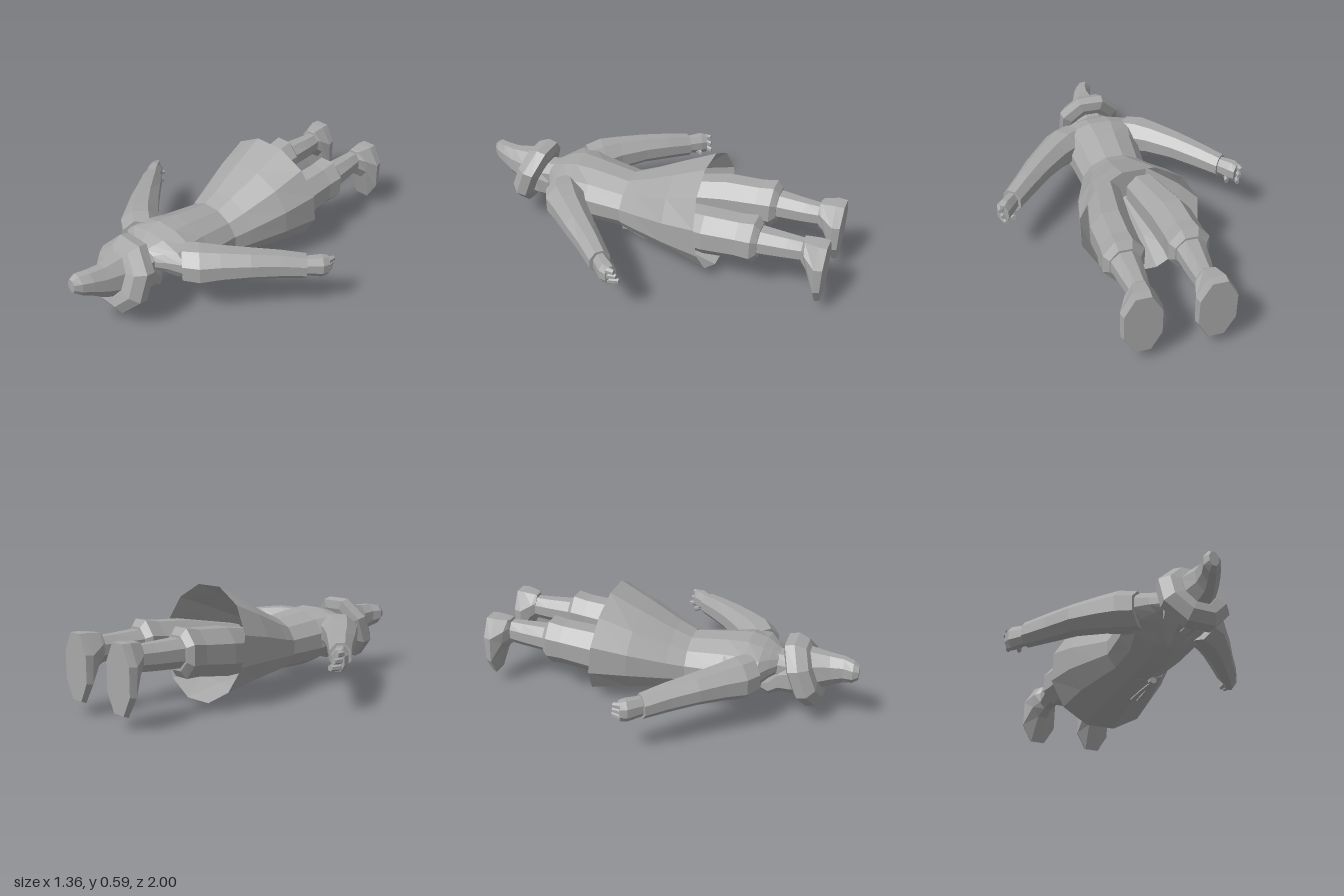
import * as THREE from 'three';

// Section: [x, y, z, rx, ry, yaw, shear]; sections run towards +z
function loft(sections, sides, caps = true) {
  const pos = [], idx = [], k = 1 / Math.cos(Math.PI / sides);
  for (const [x, y, z, rx, ry, yaw = 0, shear = 0] of sections) {
    for (let i = 0; i < sides; i++) {
      const a = ((i + 0.5) / sides) * Math.PI * 2;
      const c = Math.cos(a) * k, s = Math.sin(a) * k;
      pos.push(x + rx * c * Math.cos(yaw), y + ry * s, z + rx * c * Math.sin(yaw) + shear * s);
    }
  }
  for (let r = 0; r < sections.length - 1; r++) {
    for (let i = 0; i < sides; i++) {
      const a = r * sides + i, b = r * sides + (i + 1) % sides;
      idx.push(a, b, b + sides, a, b + sides, a + sides);
    }
  }
  if (caps) {
    const e = (sections.length - 1) * sides;
    for (let i = 1; i < sides - 1; i++) idx.push(0, i + 1, i, e, e + i, e + i + 1);
  }
  const g = new THREE.BufferGeometry();
  g.setAttribute('position', new THREE.Float32BufferAttribute(pos, 3));
  g.setIndex(idx);
  const flat = g.toNonIndexed();
  flat.computeVertexNormals();
  return flat;
}

const mirror = (sections, side) =>
  sections.map(([x, y, z, rx, ry, yaw = 0, shear = 0]) => [x * side, y, z, rx, ry, yaw * side, shear]);

export function createModel() {
  const model = new THREE.Group();
  model.name = 'lyingFigure';
  const grey = new THREE.MeshStandardMaterial({ color: 0xa8a8a8, side: THREE.DoubleSide });
  grey.name = 'plainGrey';

  const add = (name, geometry, parent = model) => {
    const mesh = new THREE.Mesh(geometry, grey);
    mesh.name = name;
    parent.add(mesh);
    return mesh;
  };

  // Open flared skirt
  add('skirt', loft([
    [0, 0.295, -0.36, 0.31, 0.295, 0, 0.04],
    [0, 0.277, -0.17, 0.275, 0.23, 0, 0.02],
    [0, 0.247, 0.03, 0.21, 0.17],
    [0, 0.235, 0.12, 0.18, 0.145],
  ], 12, false));

  // Bodice up to the collar
  add('torso', loft([
    [0, 0.235, 0.11, 0.176, 0.14],
    [0, 0.25, 0.32, 0.195, 0.152],
    [0, 0.277, 0.43, 0.225, 0.134],
    [0, 0.295, 0.51, 0.23, 0.096],
    [0, 0.302, 0.555, 0.15, 0.07],
    [0, 0.3, 0.59, 0.095, 0.055],
  ], 12));

  // Head hanging face down
  add('neck', loft([[0, 0.3, 0.54, 0.09, 0.06], [0, 0.28, 0.68, 0.085, 0.065]], 8));
  add('head', loft([
    [0, 0.145, 0.5, 0.03, 0.03],
    [0, 0.165, 0.545, 0.065, 0.065],
    [0, 0.225, 0.6, 0.095, 0.09],
    [0, 0.245, 0.66, 0.115, 0.105],
    [0, 0.26, 0.74, 0.11, 0.11],
  ], 8));
  add('nose', loft([
    [0, 0.15, 0.6, 0.018, 0.02],
    [0, 0.142, 0.64, 0.02, 0.022],
    [0, 0.16, 0.7, 0.01, 0.015],
  ], 6));

  // Tilted rolled brim and bent crown
  add('hatBrim', loft([
    [0, 0.25, 0.665, 0.12, 0.13, 0, -0.05],
    [0, 0.258, 0.685, 0.165, 0.17, 0, -0.066],
    [0, 0.27, 0.735, 0.172, 0.17, 0, -0.066],
    [0, 0.285, 0.78, 0.135, 0.135, 0, -0.052],
    [0, 0.29, 0.785, 0.085, 0.1, 0, -0.038],
  ], 8));
  add('hatCrown', loft([
    [0, 0.29, 0.765, 0.085, 0.105, 0, -0.035],
    [0, 0.3, 0.86, 0.058, 0.08, 0, -0.015],
    [-0.012, 0.312, 0.92, 0.048, 0.067],
    [-0.033, 0.318, 0.97, 0.045, 0.055],
    [-0.04, 0.32, 1, 0.025, 0.035],
  ], 8));

  for (const side of [1, -1]) {
    const prefix = side > 0 ? 'left' : 'right';
    const part = (name, sections, sides = 8) => add(prefix + name, loft(mirror(sections, side), sides));

    // Sleeve from cuff to shoulder
    part('Arm', [
      [0.59, 0.265, 0.03, 0.054, 0.062, 0.75],
      [0.5, 0.28, 0.13, 0.062, 0.07, 0.75],
      [0.405, 0.292, 0.24, 0.075, 0.075, 0.75],
      [0.3, 0.293, 0.35, 0.088, 0.088, 0.72],
      [0.225, 0.288, 0.42, 0.105, 0.1, 0.72],
      [0.15, 0.285, 0.47, 0.1, 0.095, 0.7],
    ]);

    // Hand with fingers and thumb
    part('Palm', [
      [0.655, 0.26, -0.06, 0.032, 0.052, 0.55],
      [0.64, 0.262, -0.03, 0.042, 0.058, 0.6],
      [0.585, 0.265, 0.035, 0.036, 0.05, 0.7],
    ]);
    for (let i = 0; i < 3; i++) {
      const y = 0.228 + i * 0.034;
      part('Finger' + (i + 1), [
        [0.645 + i * 0.012, y, -0.1 + i * 0.008, 0.011, 0.012, 0.1],
        [0.658 + i * 0.003, y, -0.05, 0.018, 0.016, 0.4],
      ], 6);
    }
    part('Thumb', [
      [0.6, 0.215, -0.055, 0.012, 0.014, 0.2],
      [0.615, 0.235, 0, 0.02, 0.02, 0.5],
    ], 6);

    // Thigh ending in a wide breeches cuff
    part('Thigh', [
      [0.165, 0.308, -0.66, 0.08, 0.085],
      [0.165, 0.306, -0.63, 0.105, 0.122],
      [0.163, 0.298, -0.55, 0.1, 0.115],
      [0.16, 0.28, -0.37, 0.105, 0.122],
      [0.11, 0.25, -0.05, 0.09, 0.1],
    ]);
    part('LowerLeg', [
      [0.158, 0.312, -0.9, 0.045, 0.062],
      [0.16, 0.31, -0.8, 0.058, 0.066],
      [0.165, 0.31, -0.65, 0.075, 0.072],
    ]);

    // Foot with its toe pointing down
    part('Foot', [
      [0.18, 0.235, -1, 0.092, 0.165],
      [0.18, 0.23, -0.965, 0.1, 0.17, 0, 0.01],
      [0.17, 0.3, -0.905, 0.07, 0.092, 0, 0.02],
      [0.16, 0.318, -0.875, 0.046, 0.07],
    ]);
  }

  // Belt tie on the front of the waist
  const tie = new THREE.Group();
  tie.name = 'beltTie';
  tie.position.set(0.07, 0.085, 0.13);
  model.add(tie);
  add('tieKnot', loft([[0, 0, -0.018, 0.014, 0.012], [0, 0, 0.018, 0.018, 0.016]], 6), tie);
  for (const s of [-1, 1]) {
    add('tieEnd', loft([
      [s * 0.018, -0.032, -0.2, 0.012, 0.004],
      [s * 0.014, -0.022, -0.1, 0.011, 0.004],
      [0, -0.006, 0, 0.007, 0.004],
    ], 4), tie);
  }
  return model;
}
